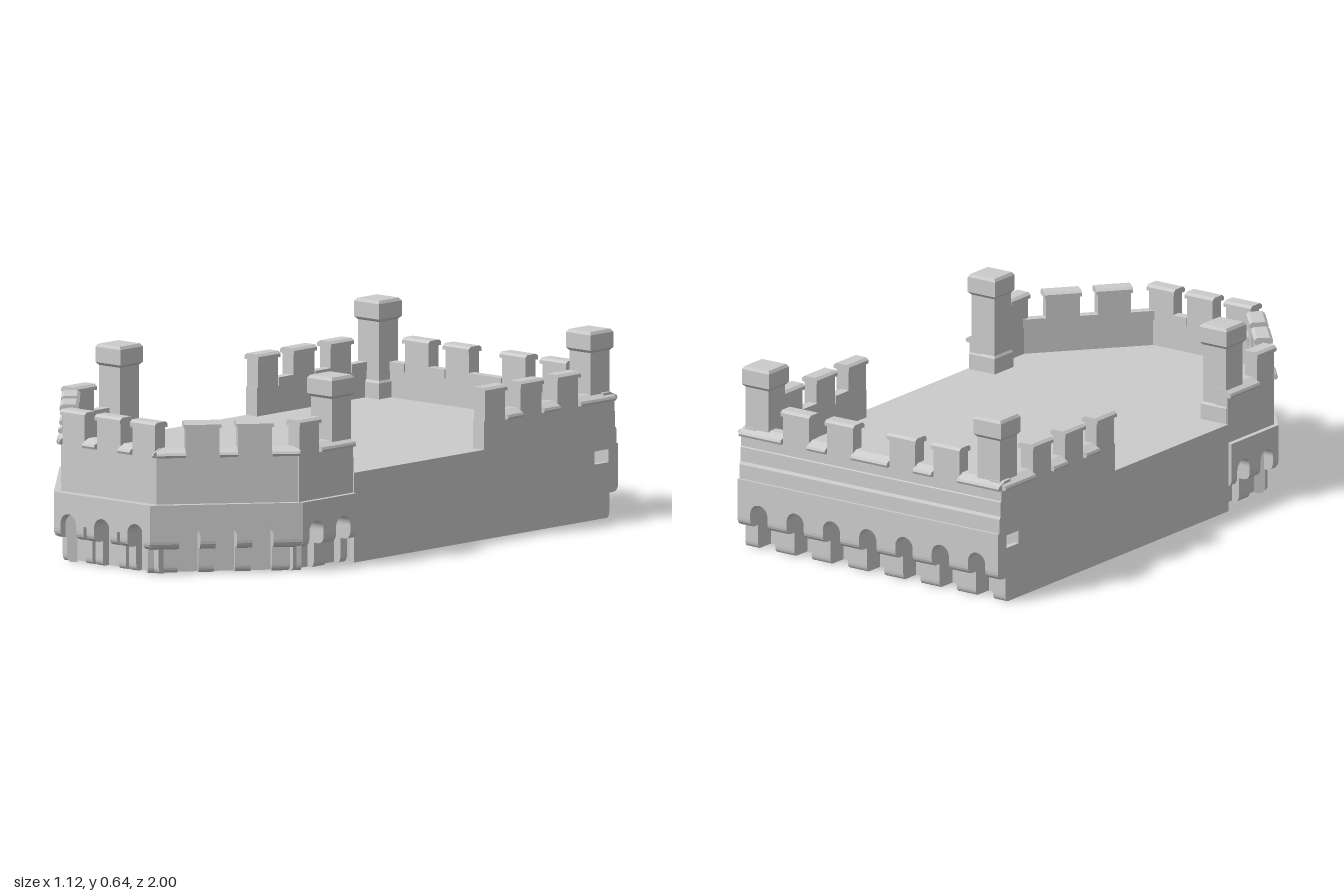
import * as THREE from 'three';

const mat = new THREE.MeshStandardMaterial({ color: 0xcccccc, flatShading: true, side: THREE.DoubleSide });

function add(parent, name, geo) {
  const m = new THREE.Mesh(geo, mat);
  m.name = name;
  parent.add(m);
  return m;
}

const poly = (pts) => new THREE.Shape(pts.map((p) => new THREE.Vector2(p[0], p[1])));

// Prism with a (z, y) section, running along x from x0 to x1
function prism(shape, x0, x1) {
  const s = Array.isArray(shape) ? poly(shape) : shape;
  const g = new THREE.ExtrudeGeometry(s, { depth: x1 - x0, bevelEnabled: false, curveSegments: 5 });
  return g.rotateY(-Math.PI / 2).translate(x1, 0, 0);
}

const rect = (z0, z1, y0, y1) => [[z0, y0], [z1, y0], [z1, y1], [z0, y1]];

// Group whose x runs from p to q (given as x, z) and whose z points outward
function panel(parent, name, p, q) {
  const g = new THREE.Group();
  g.name = name;
  const dx = q[0] - p[0], dz = q[1] - p[1];
  g.position.set(p[0], 0, p[1]);
  g.rotation.y = Math.atan2(-dz, dx);
  g.userData.length = Math.hypot(dx, dz);
  parent.add(g);
  return g;
}

// Stepped, rounded support under the overhang
function corbelShape(depth, step) {
  const s = new THREE.Shape();
  s.moveTo(-depth, 0);
  s.lineTo(-step - 0.012, 0);
  s.quadraticCurveTo(-step, 0.003, -step, 0.025);
  s.lineTo(-step, 0.085);
  s.lineTo(-0.025, 0.085);
  s.quadraticCurveTo(0, 0.087, 0, 0.115);
  s.lineTo(0, 0.134);
  s.lineTo(-0.05, 0.134);
  s.lineTo(-0.05, 0.18);
  s.lineTo(-depth, 0.18);
  return s;
}

// Row of arches on corbels
function arcade(g, centres, { top = 0.24, depth = 0.08, thick = 0.08, niche = true, slots = [] } = {}) {
  const L = g.userData.length, r = 0.036, spring = 0.134;
  const s = new THREE.Shape();
  s.moveTo(0, spring);
  centres.forEach((c) => {
    s.lineTo(c - r, spring);
    s.absarc(c, spring, r, Math.PI, 0, true);
  });
  s.lineTo(L, spring);
  s.lineTo(L, top);
  s.lineTo(0, top);
  const plate = new THREE.ExtrudeGeometry(s, { depth: thick, bevelEnabled: false, curveSegments: 10 });
  add(g, 'archBand', plate.translate(0, 0, -thick));
  // corbels fill the spaces between arches, some split by a narrow slot
  const edges = [0, ...centres.flatMap((c) => [c - r, c + r]), L];
  for (let i = 0; i < edges.length; i += 2) {
    const cut = slots.find((x) => x > edges[i] && x < edges[i + 1]);
    const spans = cut ? [[edges[i], cut - 0.007], [cut + 0.007, edges[i + 1]]] : [[edges[i], edges[i + 1]]];
    spans.forEach(([a, b]) => add(g, 'corbel', prism(corbelShape(depth, 0.045), a, b)));
  }
  if (niche) centres.forEach((c) =>
    add(g, 'nicheBack', prism(rect(-depth - 0.015, -depth + 0.005, 0, 0.2), c - r - 0.006, c + r + 0.006)));
}

// Wall with merlons at the given spans and sloping sills between them
function parapet(g, merlons, y0, t = 0.05) {
  const L = g.userData.length;
  add(g, 'parapetWall', prism(rect(-t, 0, y0, 0.405), 0, L));
  const sill = [[-t - 0.004, 0.4], [0.012, 0.4], [0.016, 0.408], [0.012, 0.416], [-0.02, 0.43], [-t - 0.004, 0.43]];
  let x = 0;
  [...merlons, [L, L]].forEach(([a, b]) => {
    if (a - x > 0.005) add(g, 'sill', prism(sill, x, a));
    if (b > a) {
      add(g, 'merlon', prism(rect(-t, 0, 0.4, 0.505), a, b));
      add(g, 'merlonCap', prism(
        [[-t - 0.007, 0.5], [0.007, 0.5], [0.007, 0.512], [-0.003, 0.52], [-t + 0.003, 0.52], [-t - 0.007, 0.512]],
        a - 0.006, b + 0.006));
    }
    x = b;
  });
}

// Square tower with plinth and chamfered cap
function tower(parent, x, z) {
  const g = new THREE.Group();
  g.name = 'tower';
  g.position.set(x, 0, z);
  parent.add(g);
  const block = (name, w, wTop, y0, y1) => add(g, name,
    new THREE.CylinderGeometry(wTop * Math.SQRT1_2, w * Math.SQRT1_2, y1 - y0, 4)
      .rotateY(Math.PI / 4).translate(0, (y0 + y1) / 2, 0));
  block('towerPlinth', 0.108, 0.108, 0.3, 0.362);
  block('towerPlinthSlope', 0.108, 0.096, 0.362, 0.37);
  block('towerShaft', 0.096, 0.096, 0.37, 0.575);
  block('towerCapUnder', 0.096, 0.114, 0.572, 0.582);
  block('towerCap', 0.114, 0.114, 0.582, 0.635);
  block('towerCapTop', 0.114, 0.1, 0.635, 0.645);
}

export function createModel() {
  const root = new THREE.Group();
  root.name = 'castleTerrace';

  // Terrace floor
  const floor = poly([[-0.54, 0.95], [0.54, 0.95], [0.54, -0.58], [0.2, -0.93], [-0.2, -0.93], [-0.54, -0.58]]);
  add(root, 'terraceFloor', new THREE.ExtrudeGeometry(floor, { depth: 0.015, bevelEnabled: false })
    .rotateX(-Math.PI / 2).translate(0, 0.293, 0));

  // Front arcade and parapet
  const frontBase = panel(root, 'frontArcade', [-0.22, 1], [0.22, 1]);
  arcade(frontBase, [0.067, 0.22, 0.373], { slots: [0.1435, 0.2965] });
  const frontTop = panel(root, 'frontParapet', [-0.218, 0.965], [0.218, 0.965]);
  parapet(frontTop, [[0.006, 0.108], [0.165, 0.271], [0.328, 0.43]], 0.23);

  // Both flanks
  [1, -1].forEach((s) => {
    const side = s > 0 ? 'left' : 'right';
    // keep the outward direction when mirrored
    const flank = (name, p, q) => s > 0
      ? panel(root, side + name, p, q)
      : panel(root, side + name, [-q[0], q[1]], [-p[0], p[1]]);
    const spans = (g, list) => s > 0 ? list
      : list.map(([a, b]) => [g.userData.length - b, g.userData.length - a]).reverse();

    const diagBase = flank('DiagonalArcade', [0.22, 1], [0.558, 0.6]);
    const mid = diagBase.userData.length / 2;
    arcade(diagBase, [mid - 0.125, mid, mid + 0.125]);
    const diagTop = flank('DiagonalParapet', [0.218, 0.965], [0.54, 0.595]);
    parapet(diagTop, spans(diagTop, [[0.1, 0.215], [0.278, 0.395]]), 0.23);

    const wingBase = flank('WingArcade', [0.558, 0.6], [0.558, 0.33]);
    arcade(wingBase, [0.068, 0.202]);
    const wingTop = flank('WingParapet', [0.54, 0.6], [0.54, 0.33]);
    parapet(wingTop, spans(wingTop, [[0.002, 0.1]]), 0.23);

    // Side wall follows the rear overhang and has a small opening
    const wall = poly([[0.33, 0], [-0.88, 0], [-0.88, 0.018], [-0.945, 0.018], [-0.955, 0.03], [-0.955, 0.09],
      [-0.98, 0.09], [-0.98, 0.308], [0.33, 0.308]]);
    wall.holes.push(new THREE.Path(rect(-0.95, -0.88, 0.19, 0.235).map((p) => new THREE.Vector2(...p))));
    add(root, side + 'SideWall', prism(wall, s * 0.535 - 0.01, s * 0.535 + 0.01));

    const rearTop = flank('RearSideParapet', [0.545, -0.325], [0.545, -0.975]);
    parapet(rearTop, spans(rearTop, [[0.004, 0.105], [0.183, 0.288], [0.37, 0.473]]), 0.3);

    tower(root, s * 0.485, 0.38);
    tower(root, s * 0.485, -0.922);
  });

  // Rear wall with overhanging arcade and parapet
  add(root, 'rearWall', new THREE.BoxGeometry(1.06, 0.3, 0.02).translate(0, 0.15, -0.87));
  const rearBase = panel(root, 'rearArcade', [0.545, -1], [-0.545, -1]);
  const centres = Array.from({ length: 7 }, (_, i) => 0.545 + (i - 3) * 0.152);
  // end corbels stop short so the side openings stay clear
  arcade(rearBase, centres, { top: 0.25, depth: 0.12, thick: 0.05, niche: false });
  const rearTop = panel(root, 'rearParapet', [0.545, -0.98], [-0.545, -0.98]);
  parapet(rearTop, [-0.315, -0.13, 0.13, 0.315].map((c) => [c + 0.545 - 0.054, c + 0.545 + 0.054]), 0.24);
  add(rearTop, 'rearBand', prism([[-0.01, 0.25], [0.01, 0.25], [0.01, 0.3], [0.004, 0.31], [0.004, 0.36], [-0.01, 0.37]], 0, 1.09));

  return root;
}
